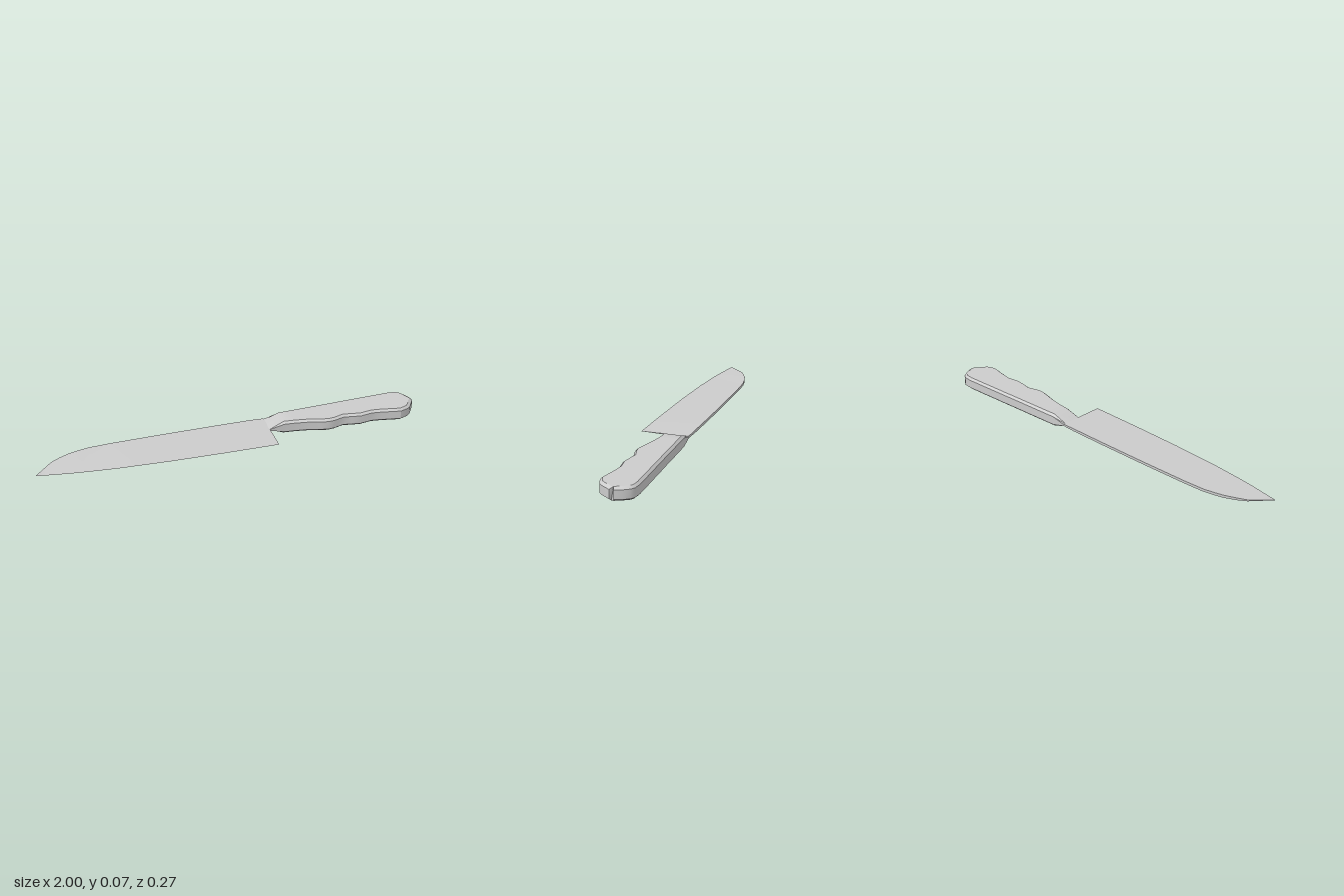
import * as THREE from 'three';
import { toCreasedNormals } from 'three/addons/utils/BufferGeometryUtils.js';

const MID = 0.035; // height of the knife's centre plane

// Skin a row of equal-length rings (each turning y towards z) and cap both ends
function loft(rings, crease) {
  const n = rings[0].length, last = rings.length - 1;
  const index = [];
  for (let i = 0; i < last; i++) {
    for (let j = 0; j < n; j++) {
      const a = i * n + j, b = i * n + (j + 1) % n;
      index.push(a, b, a + n, b, b + n, a + n);
    }
  }
  for (let j = 1; j < n - 1; j++) {
    index.push(0, j + 1, j);
    index.push(last * n, last * n + j, last * n + j + 1);
  }
  const geometry = new THREE.BufferGeometry();
  geometry.setAttribute('position', new THREE.Float32BufferAttribute(rings.flat(2), 3));
  geometry.setIndex(index);
  return toCreasedNormals(geometry, crease);
}

function part(name, geometry) {
  const mesh = new THREE.Mesh(geometry, new THREE.MeshStandardMaterial({ color: 0xcccccc }));
  mesh.name = name;
  return mesh;
}

// Wedge blade: thick spine at the back, sharp edge at the front
function bladeGeometry() {
  // x, spine z, edge z, half thickness of the spine
  const stations = [
    [-1, 0.049, 0.051, 0.0005], [-0.955, 0.004, 0.06, 0.002], [-0.91, -0.04, 0.067, 0.004],
    [-0.865, -0.064, 0.075, 0.006], [-0.81, -0.087, 0.083, 0.007], [-0.76, -0.1, 0.089, 0.007],
    [-0.705, -0.11, 0.095, 0.007], [-0.6, -0.115, 0.105, 0.007], [-0.35, -0.118, 0.12, 0.007],
    [-0.07, -0.118, 0.129, 0.007], [0.13, -0.116, 0.133, 0.007], [0.205, -0.114, 0.134, 0.005],
  ];
  return loft(stations.map(([x, spine, edge, t]) => [
    [x, MID + t, spine], [x, MID, edge], [x, MID - t, spine],
  ]), 0.3);
}

// Bevelled handle with finger grips, pinched flat where it meets the blade
function handleGeometry() {
  // x, back z, front z
  const stations = [
    [0.2, -0.114, -0.008], [0.28, -0.116, -0.005], [0.34, -0.118, 0.001], [0.4, -0.12, 0.011],
    [0.46, -0.122, 0.027], [0.505, -0.123, 0.038], [0.54, -0.124, 0.035], [0.595, -0.126, 0.019],
    [0.64, -0.128, 0.028], [0.685, -0.129, 0.035], [0.75, -0.131, 0.025], [0.8, -0.133, 0.032],
    [0.85, -0.134, 0.042], [0.9, -0.136, 0.052], [0.945, -0.131, 0.037], [0.965, -0.118, 0.02],
    [0.985, -0.088, -0.01], [1, -0.052, -0.032],
  ];
  return loft(stations.map(([x, back, front]) => {
    const pinch = THREE.MathUtils.clamp((x - 0.2) / 0.08, 0, 1);
    const half = 0.004 + 0.0295 * pinch;
    const side = half * 0.67;
    const inset = Math.min(0.012, (front - back) * 0.2);
    const xi = x - 0.014 * THREE.MathUtils.smoothstep(x, 0.9, 1); // bevel around the butt
    const y = MID - 0.0015;
    return [
      [xi, y + half, back + inset], [xi, y + half, front - inset],
      [x, y + side, front], [x, y - side, front],
      [xi, y - half, front - inset], [xi, y - half, back + inset],
      [x, y - side, back], [x, y + side, back],
    ];
  }), 0.5);
}

export function createModel() {
  const knife = new THREE.Group();
  knife.name = 'knife';
  knife.add(part('blade', bladeGeometry()), part('handle', handleGeometry()));
  return knife;
}
